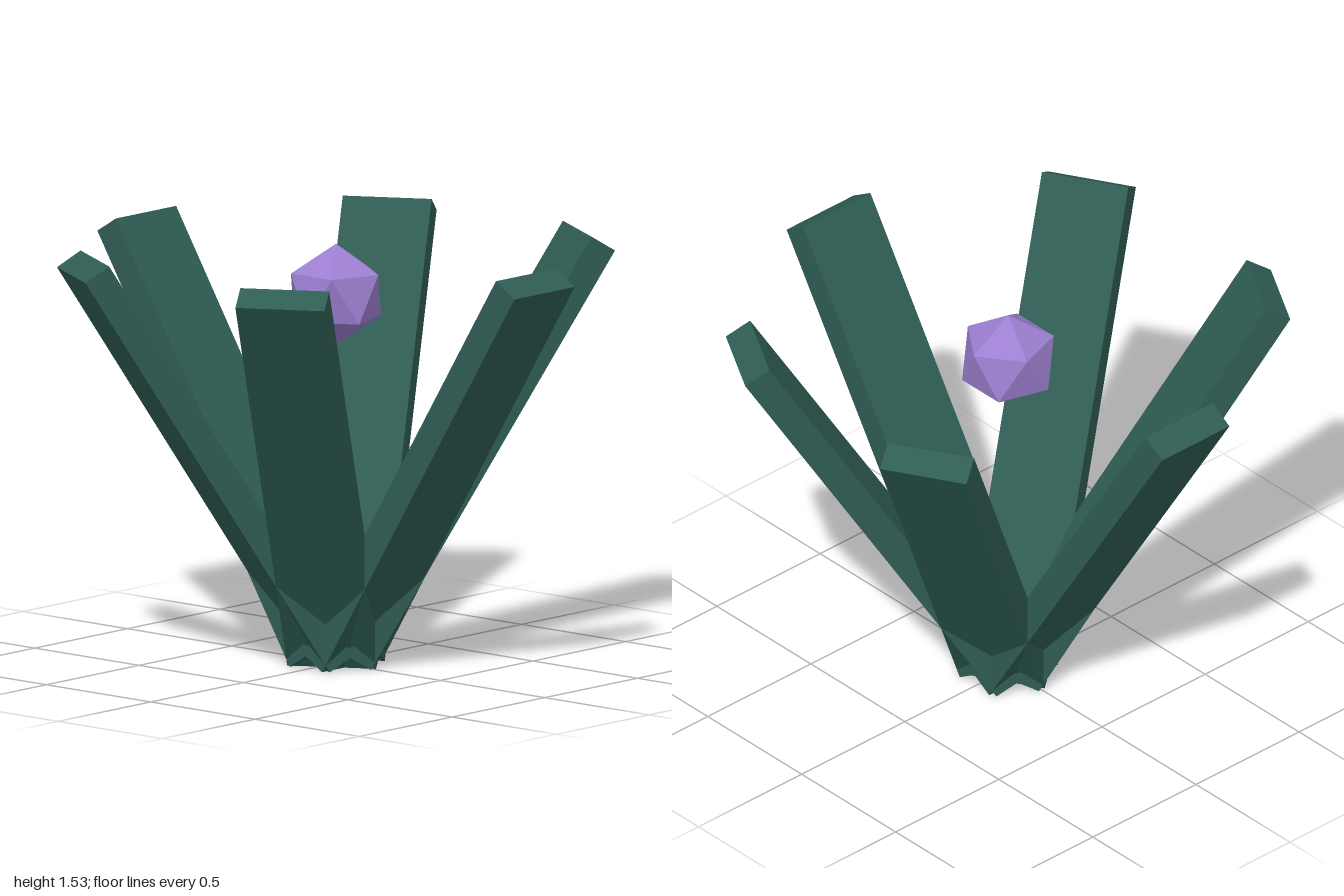
import * as THREE from 'three';

export function createModel() {
  const model = new THREE.Group();
  const green = new THREE.MeshStandardMaterial({ color: 0x2f5d54 });
  green.name = 'darkGreen';
  const purple = new THREE.MeshStandardMaterial({ color: 0x9c7fd0 });
  purple.name = 'purple';
  green.flatShading = purple.flatShading = true;

  // Six flat slabs fanning outward from the base
  const width = 0.325, length = 1.739, thickness = 0.105;
  const tilt = Math.atan(0.625);
  const slab = new THREE.BoxGeometry(width, length, thickness);
  slab.translate(0, length / 2, -thickness / 2); // pivot on the lower outer edge
  slab.rotateX(tilt);
  slab.translate(0, 0, 0.078);
  for (let i = 0; i < 6; i++) {
    const petal = new THREE.Mesh(slab, green);
    petal.name = `petal${i + 1}`;
    petal.rotation.y = (i * Math.PI) / 3;
    model.add(petal);
  }

  // Floating crystal, standing on one vertex
  const gem = new THREE.IcosahedronGeometry(0.185, 0);
  gem.rotateZ(-Math.atan(2 / (1 + Math.sqrt(5))));
  const crystal = new THREE.Mesh(gem, purple);
  crystal.name = 'crystal';
  crystal.position.y = 1.345;
  model.add(crystal);

  return model;
}
